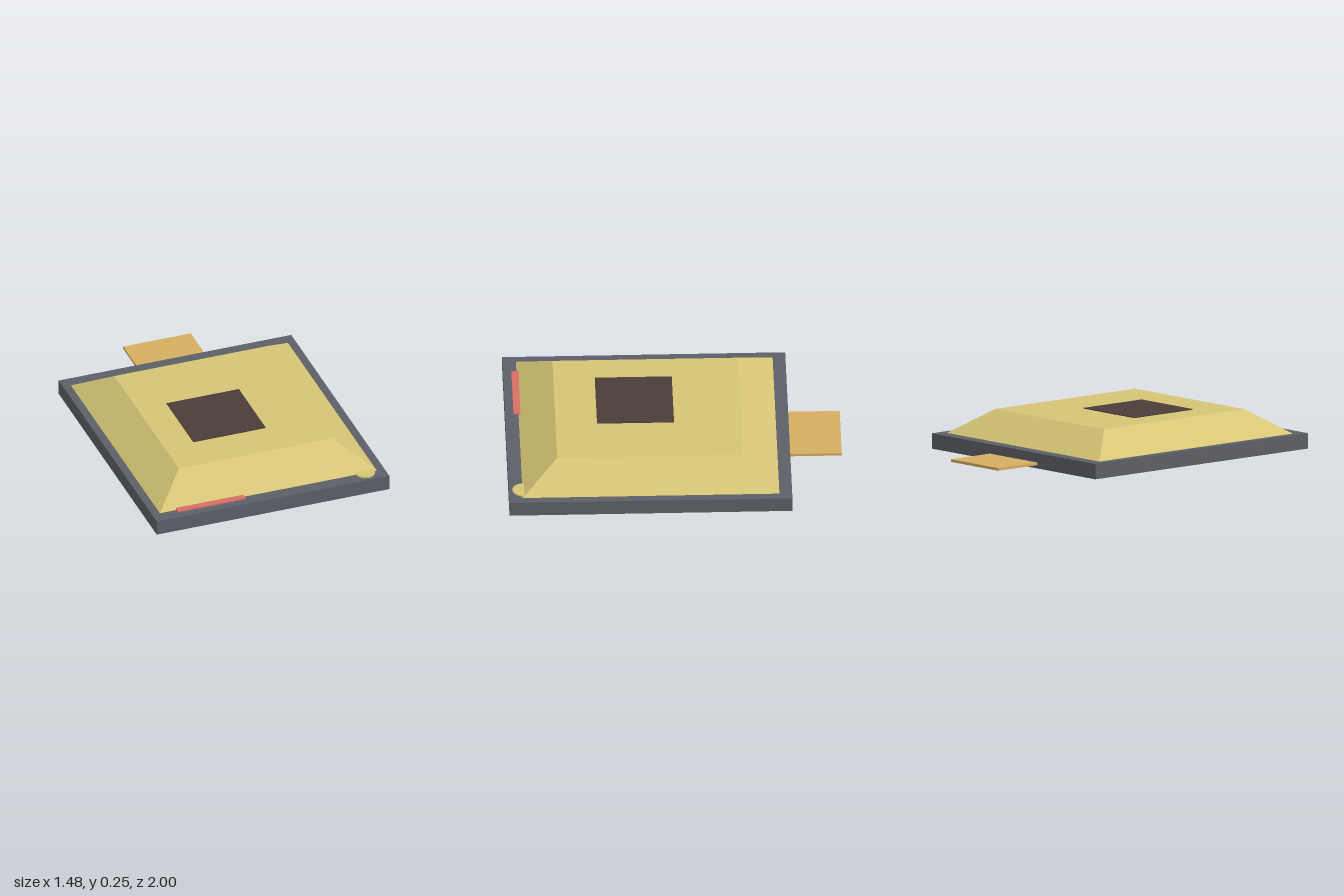
import * as THREE from 'three';

export function createModel() {
  const model = new THREE.Group();
  const paint = (name, color) => {
    const m = new THREE.MeshStandardMaterial({ color });
    m.name = name;
    return m;
  };
  const slate = paint('slate', 0x5c5f66);
  const sand = paint('sand', 0xd6c576);
  const tan = paint('tan', 0xd6ae60);
  const brown = paint('dark brown', 0x4b3d39);
  const red = paint('red', 0xd86e66);

  const add = (name, geometry, material) => {
    const mesh = new THREE.Mesh(geometry, material);
    mesh.name = name;
    model.add(mesh);
    return mesh;
  };
  // Box given by its limits on each axis
  const block = (name, material, [x0, x1], [y0, y1], [z0, z1]) => {
    const g = new THREE.BoxGeometry(x1 - x0, y1 - y0, z1 - z0);
    g.translate((x0 + x1) / 2, (y0 + y1) / 2, (z0 + z1) / 2);
    return add(name, g, material);
  };

  // Flat base and the tab at its back
  block('base', slate, [-0.74, 0.74], [0, 0.093], [-0.69, 1]);
  block('backTab', tan, [-0.215, 0.215], [0.02, 0.036], [-1, -0.68]);

  // Raised body: a box whose upper corners are drawn inward
  const body = new THREE.BoxGeometry(2, 2, 2).toNonIndexed();
  const p = body.attributes.position;
  for (let i = 0; i < p.count; i++) {
    const top = p.getY(i) > 0;
    const halfX = top ? 0.492 : 0.692;
    const halfZ = top ? 0.555 : 0.768;
    p.setXYZ(i, p.getX(i) * halfX, top ? 0.24 : 0.092, 0.153 + p.getZ(i) * halfZ);
  }
  body.computeVertexNormals();
  add('slopedBody', body, sand);

  // Thin fittings on the body and along the front rim
  block('topPanel', brown, [-0.308, 0.152], [0.239, 0.245], [0, 0.46]);
  block('frontStrip', red, [-0.585, -0.156], [0.092, 0.101], [0.905, 0.95]);
  const knob = add('cornerDisc', new THREE.CylinderGeometry(0.061, 0.061, 0.009, 24), sand);
  knob.position.set(0.615, 0.0965, 0.918);

  return model;
}
